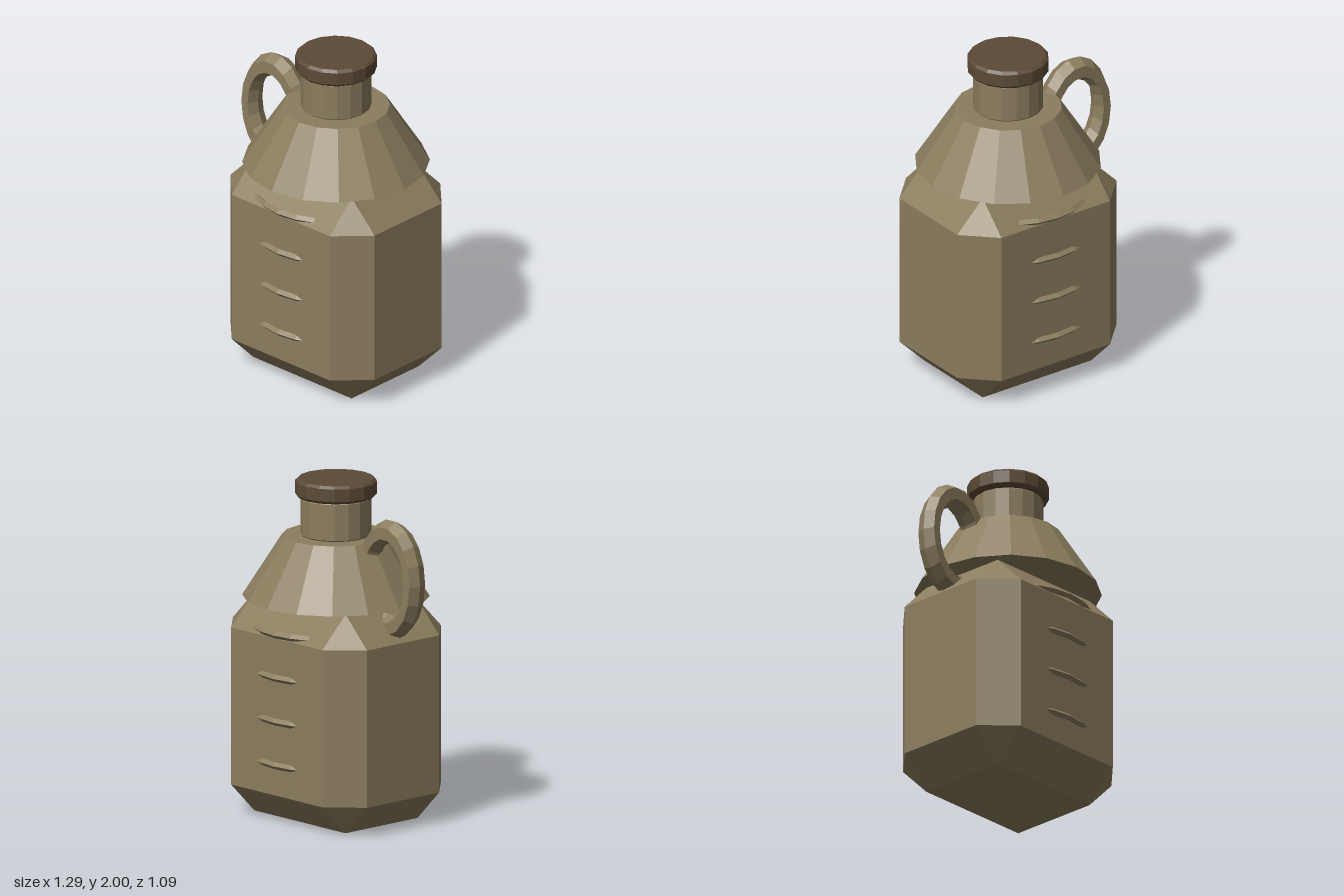
import * as THREE from 'three';
import { ConvexGeometry } from 'three/addons/geometries/ConvexGeometry.js';

const CX = 0.072; // axis of the jug; the handle sticks out on the -x side

const clay = new THREE.MeshStandardMaterial({ color: 0x8b7d5e, flatShading: true });
const cork = new THREE.MeshStandardMaterial({ color: 0x5c4a36, flatShading: true });

// Box with every edge cut at 45 degrees
function chamferedBox(hx, hy, hz, b) {
  const points = [];
  for (const x of [-1, 1]) for (const y of [-1, 1]) for (const z of [-1, 1]) {
    points.push(
      new THREE.Vector3(x * hx, y * (hy - b), z * (hz - b)),
      new THREE.Vector3(x * (hx - b), y * hy, z * (hz - b)),
      new THREE.Vector3(x * (hx - b), y * (hy - b), z * hz));
  }
  return new ConvexGeometry(points);
}

// Closed 16-sided disc from y0 to y1 with bevelled rims
function bevelledDisc(radius, y0, y1, b) {
  const profile = [[0, y0], [radius - b, y0], [radius, y0 + b], [radius, y1 - b], [radius - b, y1], [0, y1]];
  return new THREE.LatheGeometry(profile.map(([r, y]) => new THREE.Vector2(r, y)), 16);
}

export function createModel() {
  const jug = new THREE.Group();
  jug.name = 'jug';

  function add(name, geometry, material, x, y) {
    const mesh = new THREE.Mesh(geometry, material);
    mesh.name = name;
    mesh.position.set(x, y, 0);
    jug.add(mesh);
    return mesh;
  }

  // Body and overhanging shoulder
  add('body', chamferedBox(0.572, 0.65, 0.466, 0.183), clay, CX, 0.65);
  add('shoulder', new THREE.CylinderGeometry(0.313, 0.543, 0.362, 16), clay, CX, 1.483);

  // Neck and stopper
  add('neck', bevelledDisc(0.206, 1.66, 1.895, 0.011), clay, CX, 0);
  add('stopper', bevelledDisc(0.237, 1.893, 2.0, 0.016), cork, CX, 0);

  // Rings that emerge only through the front and back faces
  for (const y of [0.365, 0.625, 0.885, 1.143]) {
    add('ring', new THREE.TorusGeometry(0.48, 0.021, 4, 24).rotateX(Math.PI / 2), clay, CX, y);
  }

  // Oval handle
  const handle = add('handle', new THREE.TorusGeometry(0.284, 0.072, 6, 18), clay, -0.4, 1.476);
  handle.scale.x = 0.688;

  return jug;
}
